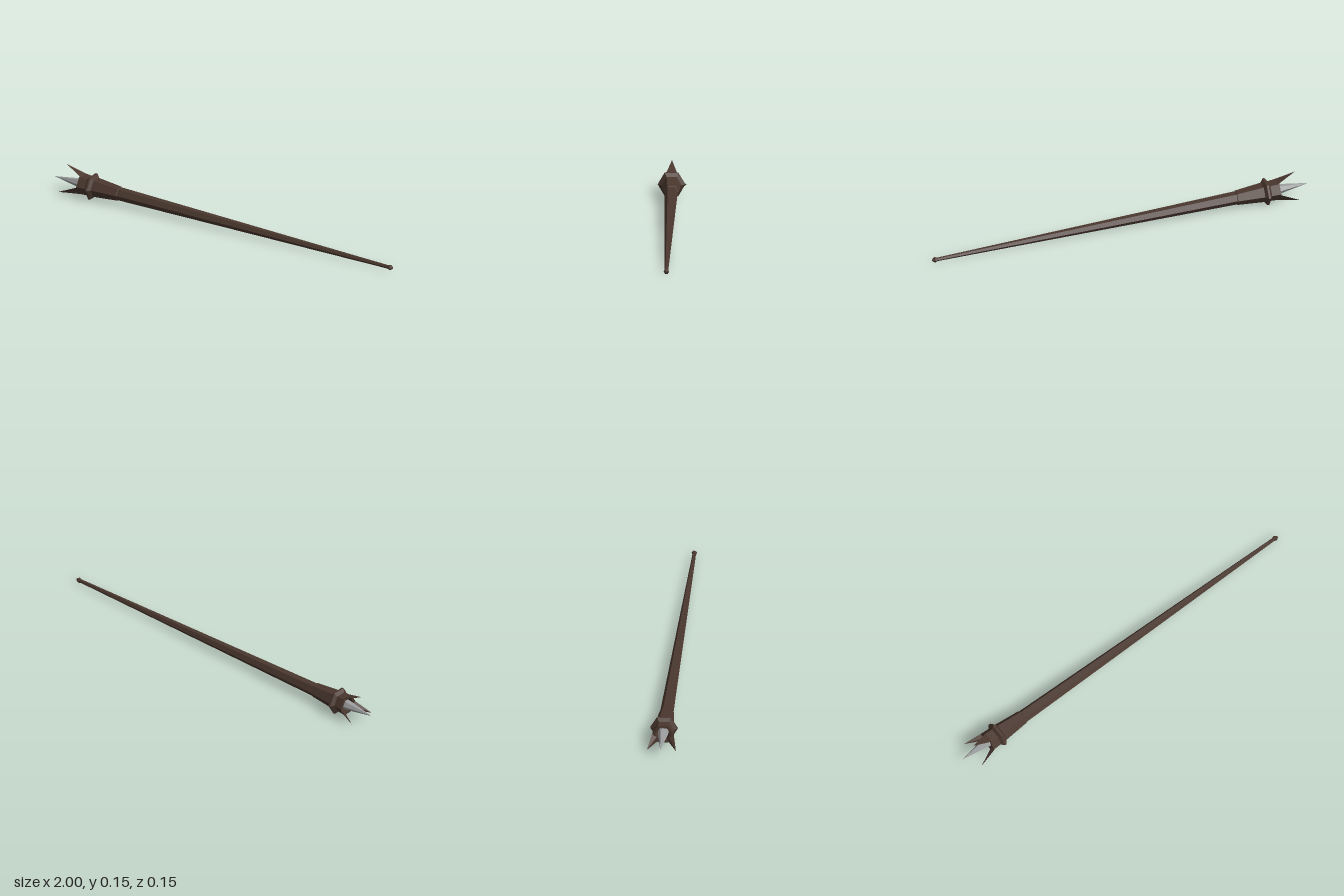
import * as THREE from 'three';

export function createModel() {
  const wood = new THREE.MeshStandardMaterial({ color: 0x4b382f, flatShading: true, side: THREE.DoubleSide });
  wood.name = 'dark wood';
  const stone = new THREE.MeshStandardMaterial({ color: 0x9c9d9e, flatShading: true });
  stone.name = 'grey crystal';

  // The staff is built along +y (towards the crystal), then laid down.
  const staff = new THREE.Group();
  staff.name = 'staff';
  const add = (name, geometry, material) => {
    const mesh = new THREE.Mesh(geometry, material);
    mesh.name = name;
    staff.add(mesh);
    return mesh;
  };
  // Six-sided turned part from [radius, height] pairs, bottom to top
  const turned = (name, profile, material = wood) =>
    add(name, new THREE.LatheGeometry(profile.map(([r, y]) => new THREE.Vector2(r, y)), 6), material);

  turned('endCap', [[0, -0.997], [0.004, -0.996], [0.014, -0.982], [0.009, -0.966]]);
  turned('shaft', [[0.009, -0.97], [0.034, 0.62]]);
  turned('flaredSocket', [[0.033, 0.615], [0.037, 0.618], [0.051, 0.77]]);
  turned('collar', [[0.05, 0.757], [0.069, 0.77], [0.069, 0.78], [0.05, 0.793]]);
  // Cup with an inner wall and floor
  turned('cup', [[0.05, 0.785], [0.054, 0.84], [0.04, 0.84], [0.036, 0.8], [0, 0.8]]);
  turned('crystal', [[0, 0.8], [0.027, 0.805], [0.025, 0.845], [0, 1.0]], stone);

  // Three pointed prongs rising from alternate sides of the cup
  const at = (r, degrees, y) => {
    const a = THREE.MathUtils.degToRad(degrees);
    return [r * Math.sin(a), y, r * Math.cos(a)];
  };
  for (const angle of [90, 210, 330]) {
    const a = at(0.0535, angle - 30, 0.832);
    const b = at(0.0535, angle + 30, 0.832);
    const inner = at(0.034, angle, 0.836);
    const tip = at(0.085, angle, 0.932);
    const geometry = new THREE.BufferGeometry();
    geometry.setAttribute('position', new THREE.Float32BufferAttribute(
      [a, b, tip, b, inner, tip, inner, a, tip, a, inner, b].flat(), 3));
    geometry.computeVertexNormals();
    add('prong', geometry, wood);
  }

  // Resting with the end cap and the collar both on the ground
  staff.rotation.z = Math.PI / 2 - 0.0255;
  staff.position.y = 0.0412;
  const model = new THREE.Group();
  model.name = 'model';
  model.add(staff);
  return model;
}
